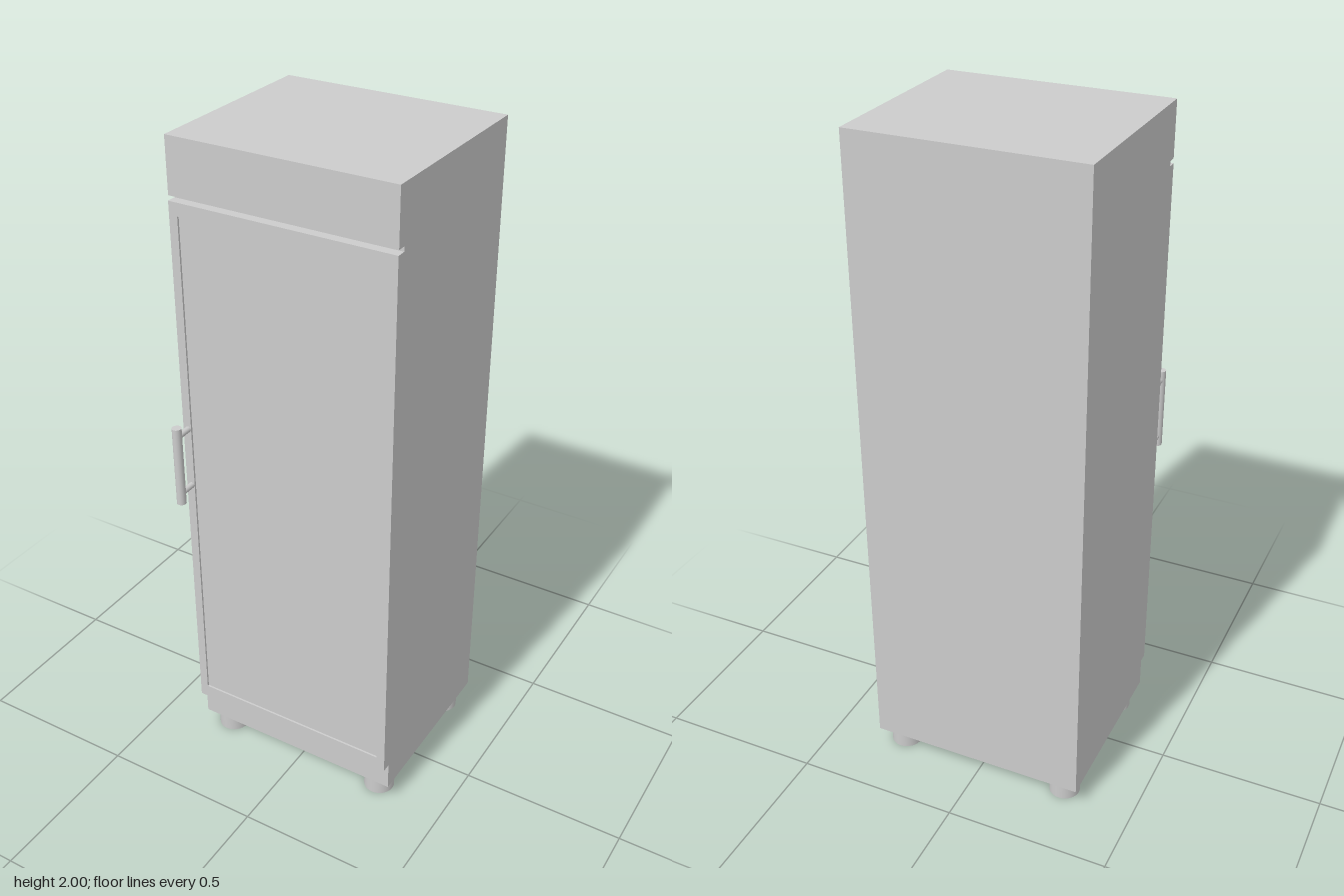
import * as THREE from 'three';

const W = 0.67, BACK = -0.323, BODY_FRONT = 0.228, FRONT = 0.256;

export function createModel() {
  const group = new THREE.Group();
  const material = new THREE.MeshStandardMaterial({ color: 0xcccccc });

  const add = (name, geometry, x = 0, y = 0, z = 0) => {
    const mesh = new THREE.Mesh(geometry, material);
    mesh.name = name;
    mesh.position.set(x, y, z);
    group.add(mesh);
    return mesh;
  };
  // Box given by its width and its y and z limits
  const slab = (name, w, y0, y1, z0, z1) =>
    add(name, new THREE.BoxGeometry(w, y1 - y0, z1 - z0), 0, (y0 + y1) / 2, (z0 + z1) / 2);
  const rectangle = (path, w, y0, y1) => {
    path.moveTo(-w / 2, y0);
    path.lineTo(w / 2, y0);
    path.lineTo(w / 2, y1);
    path.lineTo(-w / 2, y1);
    path.closePath();
    return path;
  };

  // Cabinet and the header above the door
  slab('cabinet', W, 0.063, 2, BACK, BODY_FRONT);
  slab('headerPanel', W, 1.84, 2, BODY_FRONT, FRONT - 0.002);

  // Door: raised frame around a slightly sunken panel
  const frame = rectangle(new THREE.Shape(), W, 0.155, 1.826);
  frame.holes.push(rectangle(new THREE.Path(), 0.618, 0.197, 1.788));
  add('doorFrame', new THREE.ExtrudeGeometry(frame, { depth: FRONT - BODY_FRONT, bevelEnabled: false }), 0, 0, BODY_FRONT);
  slab('doorPanel', 0.618, 0.197, 1.788, BODY_FRONT, FRONT - 0.006);

  // Handle: upright bar on two posts
  const handleX = -0.319, barZ = 0.308;
  add('handleBar', new THREE.CylinderGeometry(0.014, 0.014, 0.25, 32), handleX, 1.055, barZ);
  for (const y of [0.962, 1.15]) {
    const length = barZ - FRONT;
    add('handlePost', new THREE.CylinderGeometry(0.009, 0.009, length, 24), handleX, y, FRONT + length / 2)
      .rotation.x = Math.PI / 2;
  }

  // Four round feet
  for (const x of [-0.273, 0.273])
    for (const z of [0.169, -0.259])
      add('foot', new THREE.CylinderGeometry(0.047, 0.047, 0.063, 32), x, 0.0315, z);

  return group;
}
